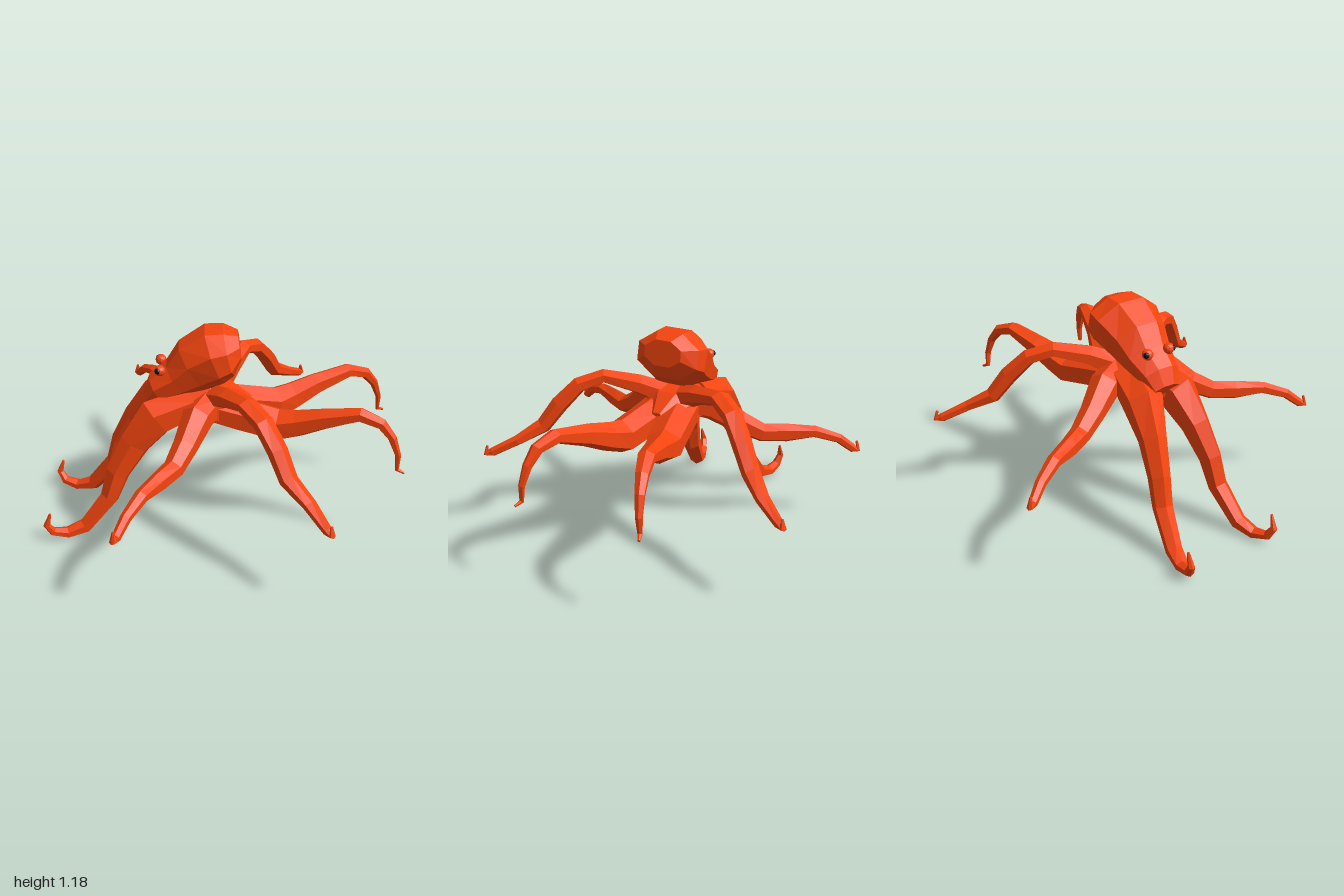
import * as THREE from 'three';

const skin = new THREE.MeshStandardMaterial({ color: 0xf5450f, flatShading: true });
const black = new THREE.MeshStandardMaterial({ color: 0x0a0a0a, flatShading: true });

// Skins a list of equal-sized point rings and closes both ends.
function loft(rings) {
  const n = rings[0].length, pos = [], idx = [];
  rings.forEach(r => r.forEach(p => pos.push(p.x, p.y, p.z)));
  for (let i = 0; i < rings.length - 1; i++) {
    for (let j = 0; j < n; j++) {
      const a = i * n + j, b = i * n + (j + 1) % n;
      idx.push(a, a + n, b, b, a + n, b + n);
    }
  }
  [0, rings.length - 1].forEach((i, end) => {
    const c = new THREE.Vector3();
    rings[i].forEach(p => c.addScaledVector(p, 1 / n));
    const centre = pos.push(c.x, c.y, c.z) / 3 - 1;
    for (let j = 0; j < n; j++) {
      const a = i * n + j, b = i * n + (j + 1) % n;
      if (end) idx.push(centre, b, a);
      else idx.push(centre, a, b);
    }
  });
  const g = new THREE.BufferGeometry();
  g.setAttribute('position', new THREE.Float32BufferAttribute(pos, 3));
  g.setIndex(idx);
  const flat = g.toNonIndexed();
  flat.computeVertexNormals();
  return flat;
}

// One ring around a centre, spanned by a side vector and an up vector.
function ring(centre, side, up, sides) {
  const k = 1 / Math.cos(Math.PI / sides);
  return Array.from({ length: sides }, (_, j) => {
    const a = (j + 0.5) / sides * Math.PI * 2;
    return centre.clone()
      .addScaledVector(side, Math.cos(a) * k)
      .addScaledVector(up, Math.sin(a) * (sides === 6 ? 1 : k));
  });
}

// Arm from stations [x, y, z, halfWidth, halfHeight]; m = 1 or -1 mirrors in z.
function armGeometry(stations, m) {
  const pts = stations.map(s => new THREE.Vector3(s[0], s[1], s[2] * m));
  const last = pts.length - 1;
  const side = pts[last].clone().sub(pts[0]).setY(0).normalize().cross(new THREE.Vector3(0, 1, 0));
  return loft(pts.map((p, i) => {
    const before = p.clone().sub(pts[Math.max(i - 1, 0)]).normalize();
    const t = pts[Math.min(i + 1, last)].clone().sub(p).normalize().add(before).normalize();
    const up = side.clone().cross(t).normalize();
    return ring(p, side.clone().multiplyScalar(stations[i][3]), up.multiplyScalar(stations[i][4]), 6);
  }));
}

// Trunk from stations [topX, topY, bottomX, bottomY, halfWidth].
function trunkGeometry(stations) {
  return loft(stations.map(([tx, ty, bx, by, w]) => ring(
    new THREE.Vector3((tx + bx) / 2, (ty + by) / 2, 0),
    new THREE.Vector3(0, 0, w),
    new THREE.Vector3((tx - bx) / 2, (ty - by) / 2, 0), 8)));
}

const HEAD = [
  [-0.42, 0.82, -0.37, 0.75, 0.08],
  [-0.385, 0.91, -0.30, 0.79, 0.11],
  [-0.29, 0.99, -0.17, 0.83, 0.135],
  [-0.22, 1.10, -0.06, 0.86, 0.16],
  [-0.08, 1.19, 0.03, 0.91, 0.195],
  [0.02, 1.195, 0.08, 0.95, 0.185],
  [0.10, 1.17, 0.12, 1.03, 0.11],
];

const BODY = [
  [-0.40, 0.83, -0.36, 0.72, 0.07],
  [-0.25, 0.85, -0.25, 0.67, 0.15],
  [-0.05, 0.88, -0.07, 0.65, 0.18],
  [0.06, 0.86, 0.08, 0.65, 0.13],
  [0.18, 0.78, 0.18, 0.66, 0.05],
];

const ARMS = {
  frontArm: [
    [-0.15, 0.79, 0.06, 0.10, 0.09],
    [-0.35, 0.72, 0.115, 0.095, 0.12],
    [-0.47, 0.57, 0.145, 0.065, 0.09],
    [-0.57, 0.40, 0.175, 0.052, 0.07],
    [-0.625, 0.245, 0.19, 0.048, 0.055],
    [-0.77, 0.07, 0.225, 0.04, 0.045],
    [-0.87, 0.04, 0.25, 0.034, 0.03],
    [-0.95, 0.06, 0.27, 0.024, 0.025],
    [-0.98, 0.115, 0.283, 0.017, 0.02],
    [-0.955, 0.19, 0.285, 0.006, 0.007],
  ],
  frontSideArm: [
    [-0.05, 0.79, 0.06, 0.08, 0.08],
    [-0.12, 0.76, 0.20, 0.075, 0.09],
    [-0.185, 0.66, 0.33, 0.06, 0.065],
    [-0.245, 0.595, 0.45, 0.05, 0.055],
    [-0.32, 0.59, 0.57, 0.042, 0.055],
    [-0.40, 0.595, 0.71, 0.034, 0.035],
    [-0.47, 0.55, 0.83, 0.026, 0.028],
    [-0.515, 0.485, 0.905, 0.021, 0.025],
    [-0.53, 0.48, 0.93, 0.016, 0.018],
    [-0.525, 0.53, 0.92, 0.006, 0.007],
  ],
  backSideArm: [
    [-0.03, 0.81, 0.05, 0.075, 0.07],
    [0.05, 0.875, 0.19, 0.065, 0.055],
    [0.14, 0.92, 0.36, 0.052, 0.04],
    [0.22, 0.875, 0.47, 0.05, 0.045],
    [0.29, 0.765, 0.56, 0.048, 0.05],
    [0.345, 0.64, 0.64, 0.044, 0.045],
    [0.445, 0.565, 0.75, 0.034, 0.03],
    [0.525, 0.495, 0.875, 0.022, 0.026],
    [0.545, 0.49, 0.905, 0.016, 0.018],
    [0.54, 0.535, 0.895, 0.006, 0.007],
  ],
  backArm: [
    [-0.06, 0.76, 0.05, 0.10, 0.085],
    [0.13, 0.715, 0.085, 0.095, 0.095],
    [0.33, 0.675, 0.13, 0.09, 0.095],
    [0.43, 0.705, 0.165, 0.075, 0.08],
    [0.56, 0.755, 0.21, 0.058, 0.062],
    [0.75, 0.81, 0.265, 0.042, 0.04],
    [0.86, 0.775, 0.305, 0.032, 0.032],
    [0.92, 0.70, 0.325, 0.024, 0.024],
    [0.957, 0.60, 0.34, 0.017, 0.016],
    [0.958, 0.515, 0.345, 0.012, 0.012],
    [0.995, 0.50, 0.36, 0.006, 0.007],
  ],
};

export function createModel() {
  const model = new THREE.Group();
  const add = (name, geometry, material = skin) => {
    const mesh = new THREE.Mesh(geometry, material);
    mesh.name = name;
    model.add(mesh);
    return mesh;
  };

  add('head', trunkGeometry(HEAD));
  add('body', trunkGeometry(BODY));

  for (const [m, suffix] of [[1, 'Left'], [-1, 'Right']]) {
    for (const name in ARMS) add(name + suffix, armGeometry(ARMS[name], m));

    // Bulging eyes with dark pupils looking forward and outward
    add('eye' + suffix, new THREE.IcosahedronGeometry(0.031, 1))
      .position.set(-0.322, 0.98, 0.07 * m);
    add('pupil' + suffix, new THREE.IcosahedronGeometry(0.018, 1), black)
      .position.set(-0.333, 0.983, 0.085 * m);
  }
  return model;
}
